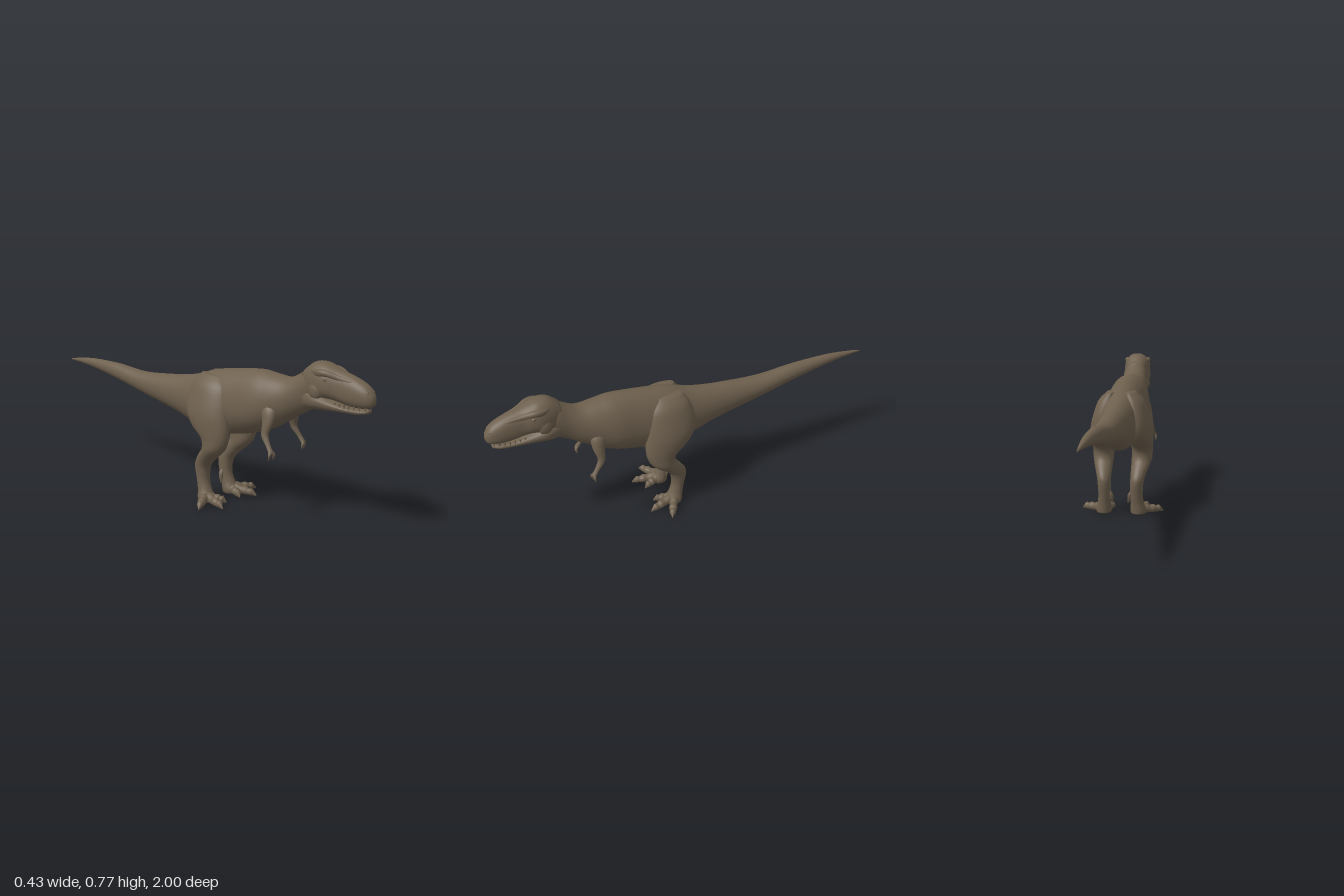
import * as THREE from 'three';

const hide = new THREE.MeshStandardMaterial({ color: 0x6e604e });
hide.name = 'brown hide';

const X = new THREE.Vector3(1, 0, 0);
const Y = new THREE.Vector3(0, 1, 0);
const Z = new THREE.Vector3(0, 0, 1);

// Smooth skin over cross-sections [x, y, z, ru, rv+, rv-] spanned by the axes u and v.
// A power below 1 makes the sections boxier.
function skin(name, stations, u, v, { steps = 4, sides = 24, power = 1 } = {}) {
  const centres = new THREE.CatmullRomCurve3(
    stations.map((s) => new THREE.Vector3(s[0], s[1], s[2])), false, 'catmullrom', 0.5);
  const radii = new THREE.CatmullRomCurve3(
    stations.map((s) => new THREE.Vector3(s[3], s[4], s[5])), false, 'catmullrom', 0.5);
  const rings = (stations.length - 1) * steps;
  const pos = [];
  const index = [];
  const bend = (a) => Math.sign(a) * Math.abs(a) ** power;
  for (let i = 0; i <= rings; i++) {
    const c = centres.getPoint(i / rings);
    const r = radii.getPoint(i / rings);
    for (let j = 0; j < sides; j++) {
      const a = (j / sides) * Math.PI * 2;
      const sn = bend(Math.sin(a));
      const p = c.clone()
        .addScaledVector(u, Math.max(r.x, 0) * bend(Math.cos(a)))
        .addScaledVector(v, sn * Math.max(sn > 0 ? r.y : r.z, 0));
      pos.push(p.x, p.y, p.z);
    }
  }
  const first = centres.getPoint(0);
  const last = centres.getPoint(1);
  const tail = pos.length / 3;
  pos.push(first.x, first.y, first.z, last.x, last.y, last.z);
  const along = last.clone().sub(first);
  const flip = new THREE.Vector3().crossVectors(u, v).dot(along) < 0;
  const tri = (a, b, c) => (flip ? index.push(a, c, b) : index.push(a, b, c));
  for (let j = 0; j < sides; j++) {
    const k = (j + 1) % sides;
    tri(tail, k, j);
    for (let i = 0; i < rings; i++) {
      const a = i * sides;
      const b = a + sides;
      tri(a + j, a + k, b + j);
      tri(a + k, b + k, b + j);
    }
    tri(tail + 1, rings * sides + j, rings * sides + k);
  }
  const geo = new THREE.BufferGeometry();
  geo.setAttribute('position', new THREE.Float32BufferAttribute(pos, 3));
  geo.setIndex(index);
  geo.computeVertexNormals();
  const mesh = new THREE.Mesh(geo, hide);
  mesh.name = name;
  return mesh;
}

// Sections along z given as [z, top, widest height, bottom, half width].
const spine = (rows) => rows.map(([z, top, mid, bot, w]) => [0, mid, z, w, top - mid, mid - bot]);

// Round tapering digit through points [x, y, z, radius].
function digit(name, pts, u, v) {
  return skin(name, pts.map(([x, y, z, r]) => [x, y, z, r, r, r]), u, v, { sides: 12 });
}

function blob(name, x, y, z, sx, sy, sz) {
  const mesh = new THREE.Mesh(new THREE.SphereGeometry(1, 16, 12), hide);
  mesh.name = name;
  mesh.position.set(x, y, z);
  mesh.scale.set(sx, sy, sz);
  return mesh;
}

function makeBody() {
  return skin('neckBodyTail', spine([
    [0.74, 0.765, 0.68, 0.6, 0.05],
    [0.68, 0.752, 0.66, 0.552, 0.062],
    [0.62, 0.708, 0.62, 0.515, 0.067],
    [0.56, 0.68, 0.58, 0.475, 0.08],
    [0.48, 0.683, 0.55, 0.427, 0.099],
    [0.4, 0.69, 0.52, 0.392, 0.112],
    [0.3, 0.68, 0.5, 0.364, 0.11],
    [0.2, 0.665, 0.49, 0.345, 0.11],
    [0.1, 0.645, 0.49, 0.338, 0.106],
    [0, 0.61, 0.48, 0.352, 0.088],
    [-0.1, 0.588, 0.485, 0.384, 0.076],
    [-0.2, 0.575, 0.49, 0.407, 0.066],
    [-0.4, 0.558, 0.505, 0.447, 0.052],
    [-0.6, 0.572, 0.53, 0.488, 0.037],
    [-0.8, 0.57, 0.546, 0.52, 0.022],
    [-0.94, 0.553, 0.544, 0.533, 0.009],
    [-1, 0.541, 0.539, 0.536, 0.002],
  ]), X, Y, { sides: 36, steps: 6 });
}

function makeHead() {
  const head = new THREE.Group();
  head.name = 'head';
  head.add(skin('skull', spine([
    [0.65, 0.735, 0.67, 0.58, 0.05],
    [0.7, 0.772, 0.68, 0.595, 0.065],
    [0.75, 0.776, 0.68, 0.61, 0.072],
    [0.79, 0.764, 0.68, 0.618, 0.066],
    [0.83, 0.75, 0.67, 0.613, 0.053],
    [0.88, 0.737, 0.66, 0.604, 0.049],
    [0.93, 0.72, 0.655, 0.602, 0.046],
    [0.97, 0.698, 0.65, 0.607, 0.037],
    [0.993, 0.67, 0.645, 0.618, 0.022],
    [1, 0.65, 0.643, 0.635, 0.006],
  ]), X, Y, { sides: 32, power: 0.85 }));
  head.add(skin('lowerJaw', spine([
    [0.66, 0.66, 0.61, 0.555, 0.058],
    [0.73, 0.65, 0.61, 0.562, 0.073],
    [0.8, 0.622, 0.6, 0.568, 0.06],
    [0.88, 0.602, 0.59, 0.572, 0.044],
    [0.94, 0.6, 0.59, 0.575, 0.035],
    [0.975, 0.6, 0.592, 0.585, 0.019],
  ]), X, Y, { power: 0.85 }));
  for (const s of [1, -1]) {
    // Horned brow running into a ridge along the snout
    head.add(skin('browRidge', [
      [s * 0.05, 0.735, 0.71, 0.008, 0.01, 0.02],
      [s * 0.058, 0.74, 0.75, 0.014, 0.013, 0.022],
      [s * 0.054, 0.737, 0.79, 0.014, 0.014, 0.014],
      [s * 0.038, 0.722, 0.84, 0.009, 0.013, 0.012],
      [s * 0.028, 0.71, 0.9, 0.008, 0.01, 0.01],
      [s * 0.02, 0.698, 0.95, 0.004, 0.004, 0.006],
    ], X, Y, { sides: 14 }));
    head.add(blob('eye', s * 0.06, 0.712, 0.785, 0.009, 0.009, 0.01));
    head.add(blob('cheek', s * 0.056, 0.655, 0.735, 0.02, 0.04, 0.035));
    head.add(blob('nostril', s * 0.022, 0.677, 0.972, 0.008, 0.008, 0.01));
    // Upper teeth
    for (let i = 0; i < 7; i++) {
      const z = 0.83 + i * 0.023;
      const tooth = new THREE.Mesh(new THREE.ConeGeometry(0.005, 0.025, 6), hide);
      tooth.name = 'tooth';
      tooth.position.set(s * (0.043 - 0.021 * (i / 6) ** 3), 0.602, z);
      tooth.rotation.x = Math.PI;
      head.add(tooth);
    }
  }
  return head;
}

function makeLeg(s) {
  const leg = new THREE.Group();
  leg.name = s > 0 ? 'leftLeg' : 'rightLeg';
  leg.add(skin('thighAndShin', [
    [0.045, 0.635, 0.13, 0.025, 0.06, 0.07],
    [0.065, 0.59, 0.14, 0.05, 0.1, 0.11],
    [0.08, 0.52, 0.145, 0.062, 0.117, 0.135],
    [0.093, 0.45, 0.148, 0.066, 0.122, 0.132],
    [0.099, 0.39, 0.162, 0.061, 0.112, 0.11],
    [0.101, 0.335, 0.187, 0.054, 0.082, 0.07],
    [0.1, 0.285, 0.185, 0.053, 0.062, 0.062],
    [0.094, 0.24, 0.146, 0.045, 0.054, 0.056],
    [0.087, 0.195, 0.112, 0.037, 0.042, 0.05],
    [0.084, 0.16, 0.101, 0.034, 0.038, 0.042],
    [0.083, 0.11, 0.102, 0.032, 0.033, 0.033],
    [0.086, 0.06, 0.115, 0.034, 0.037, 0.035],
    [0.09, 0.025, 0.13, 0.042, 0.045, 0.045],
    [0.09, 0.004, 0.13, 0.038, 0.04, 0.042],
  ].map(([x, ...r]) => [s * x, ...r]), X, Z, { sides: 28 }));

  // Three splayed toes, each with knuckles and a claw
  for (const [name, tx, tz] of [['innerToe', 0.05, 0.225], ['middleToe', 0.125, 0.268], ['outerToe', 0.212, 0.192]]) {
    const from = new THREE.Vector3(s * 0.09, 0, 0.125);
    const to = new THREE.Vector3(s * tx, 0, tz);
    const side = new THREE.Vector3().crossVectors(Y, to.clone().sub(from)).normalize();
    const at = (t, y, w, h) => {
      const p = from.clone().lerp(to, t);
      return [p.x, y, p.z, w, h, y - 0.003];
    };
    leg.add(skin(name, [
      at(0, 0.028, 0.026, 0.03), at(0.3, 0.025, 0.022, 0.025), at(0.45, 0.022, 0.019, 0.02),
      at(0.6, 0.022, 0.021, 0.022), at(0.72, 0.02, 0.016, 0.016), at(0.82, 0.021, 0.016, 0.018),
      at(0.9, 0.018, 0.009, 0.011), at(1, 0.008, 0.002, 0.003),
    ], side, Y, { sides: 16 }));
  }
  // Small spur toe on the inner side of the foot
  leg.add(digit('spurToe', [
    [s * 0.062, 0.125, 0.1, 0.012], [s * 0.05, 0.105, 0.1, 0.012],
    [s * 0.046, 0.085, 0.103, 0.01], [s * 0.039, 0.058, 0.108, 0.002],
  ], X, Z));
  return leg;
}

function makeArm(s) {
  const arm = new THREE.Group();
  arm.name = s > 0 ? 'leftArm' : 'rightArm';
  arm.add(skin('armAndHand', [
    [0.062, 0.56, 0.49, 0.022, 0.03, 0.03],
    [0.076, 0.525, 0.5, 0.028, 0.038, 0.038],
    [0.092, 0.475, 0.507, 0.022, 0.028, 0.028],
    [0.104, 0.43, 0.502, 0.016, 0.019, 0.019],
    [0.109, 0.405, 0.508, 0.015, 0.018, 0.017],
    [0.115, 0.375, 0.53, 0.011, 0.013, 0.013],
    [0.118, 0.352, 0.547, 0.013, 0.012, 0.012],
    [0.118, 0.342, 0.551, 0.009, 0.009, 0.009],
  ].map(([x, ...r]) => [s * x, ...r]), X, Z, { sides: 18 }));
  for (const [x, z] of [[0.106, 0.556], [0.131, 0.55]]) {
    arm.add(digit('finger', [
      [s * 0.118, 0.362, 0.543, 0.008], [s * (x * 0.8 + 0.0236), 0.345, z, 0.007],
      [s * x, 0.333, z, 0.0065], [s * x, 0.314, z - 0.004, 0.001],
    ], X, Z));
  }
  return arm;
}

export function createModel() {
  const model = new THREE.Group();
  model.name = 'dinosaur';
  model.add(makeBody(), makeHead());
  for (const s of [1, -1]) model.add(makeLeg(s), makeArm(s));
  return model;
}
